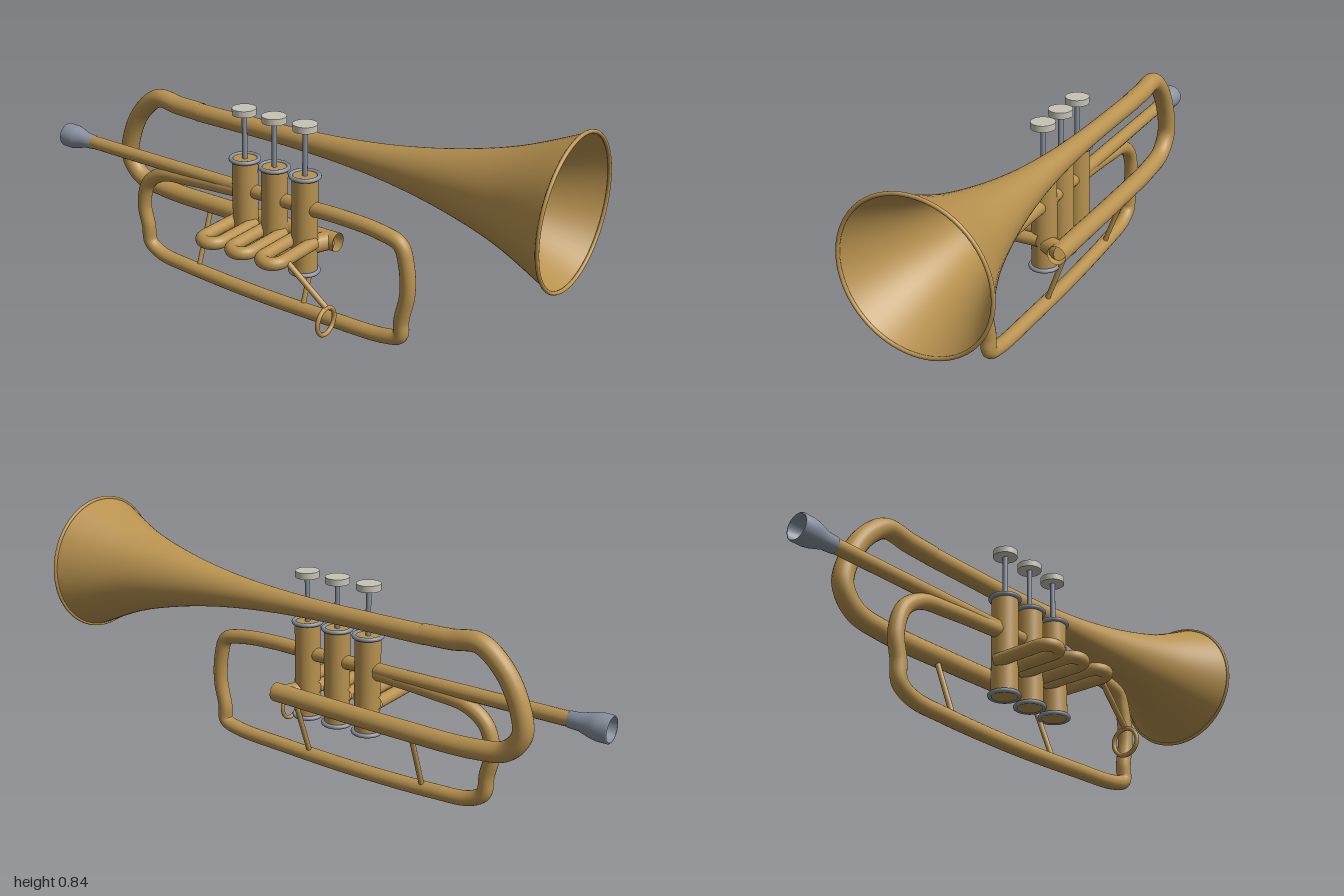
import * as THREE from 'three';

export function createModel() {
  const brass = new THREE.MeshStandardMaterial({ color: 0xb8924f, side: THREE.DoubleSide });
  brass.name = 'brass';
  const steel = new THREE.MeshStandardMaterial({ color: 0x8891a0, side: THREE.DoubleSide });
  steel.name = 'steel';
  const pearl = new THREE.MeshStandardMaterial({ color: 0xc6c4b6 });
  pearl.name = 'pearl';

  const model = new THREE.Group();
  model.name = 'horn';
  const V = (p) => new THREE.Vector3(...p);

  function add(name, geometry, material, position = [0, 0, 0], parent = model) {
    const mesh = new THREE.Mesh(geometry, material);
    mesh.name = name;
    mesh.position.set(...position);
    parent.add(mesh);
    return mesh;
  }
  // Round pipe through a list of points
  function pipe(name, points, radius, closed = false, segments = 140) {
    const curve = new THREE.CatmullRomCurve3(points.map(V), closed, 'centripetal');
    return add(name, new THREE.TubeGeometry(curve, segments, radius, 20, closed), brass);
  }
  // Straight rod between two points
  function rod(name, a, b, radius) {
    const from = V(a), dir = V(b).sub(from);
    const mesh = add(name, new THREE.CylinderGeometry(radius, radius, dir.length(), 16), brass);
    mesh.position.copy(from).addScaledVector(dir, 0.5);
    mesh.quaternion.setFromUnitVectors(new THREE.Vector3(0, 1, 0), dir.normalize());
    return mesh;
  }
  // Turned part whose axis runs along x; profile is [radius, x]
  function turned(name, profile, material, y, z) {
    const points = profile.map(([r, x]) => new THREE.Vector2(r, x));
    const mesh = add(name, new THREE.LatheGeometry(points, 56), material, [0, y, z]);
    mesh.rotation.z = -Math.PI / 2;
    return mesh;
  }

  const valveZ = 0.045, bellZ = -0.038, bellY = 0.605, leadY = 0.413;

  // Bell flare with rolled rim
  const flare = new THREE.SplineCurve([
    [0.032, -0.41], [0.032, -0.2], [0.034, 0], [0.043, 0.2], [0.063, 0.4],
    [0.099, 0.6], [0.154, 0.8], [0.237, 0.995],
  ].map(([r, x]) => new THREE.Vector2(r, x)));
  turned('bell', flare.getPoints(48).map((p) => [p.x, p.y]), brass, bellY, bellZ);
  add('bellRim', new THREE.TorusGeometry(0.237, 0.006, 12, 64), brass, [0.994, bellY, bellZ])
    .rotation.y = Math.PI / 2;

  // Bell tail, bending back under itself to the valves
  pipe('bellTail', [
    [-0.4, 0.607, bellZ], [-0.5, 0.61, bellZ], [-0.6, 0.617, bellZ], [-0.685, 0.55, bellZ],
    [-0.74, 0.45, bellZ], [-0.755, 0.36, bellZ], [-0.705, 0.295, bellZ], [-0.59, 0.272, bellZ],
    [-0.3, 0.268, bellZ], [0, 0.272, bellZ], [0.185, 0.275, bellZ],
  ], 0.033);
  rod('bellTailConnector', [0.15, 0.274, bellZ], [0.115, 0.274, valveZ], 0.032);

  // Mouthpiece with an open cup
  turned('mouthpiece', [
    [0.004, -0.93], [0.022, -0.945], [0.034, -0.97], [0.038, -0.998], [0.041, -1], [0.044, -0.997],
    [0.044, -0.96], [0.04, -0.94], [0.028, -0.9], [0.026, -0.865], [0.02, -0.865],
  ], steel, leadY, valveZ - 0.002);

  // Lead pipe and the long tuning loop
  rod('leadPipe', [-0.88, leadY, valveZ - 0.002], [0.1, leadY, valveZ - 0.002], 0.024);
  pipe('tuningLoop', [
    [0.1, 0.414, valveZ], [0.25, 0.417, valveZ], [0.4, 0.407, valveZ], [0.475, 0.385, valveZ],
    [0.5, 0.32, valveZ], [0.508, 0.22, valveZ], [0.49, 0.12, valveZ], [0.488, 0.065, valveZ],
    [0.43, 0.045, valveZ], [0.2, 0.034, valveZ], [-0.1, 0.029, valveZ], [-0.4, 0.038, valveZ],
    [-0.54, 0.052, valveZ], [-0.592, 0.085, valveZ], [-0.6, 0.15, valveZ], [-0.615, 0.23, valveZ],
    [-0.59, 0.32, valveZ], [-0.52, 0.37, valveZ], [-0.4, 0.386, valveZ], [-0.14, 0.403, valveZ],
  ], 0.0255, false, 220);

  // Three valves, each with a slide
  [-0.14, -0.016, 0.108].forEach((x, i) => {
    const valve = new THREE.Group();
    valve.name = `valve${i + 1}`;
    valve.position.set(x, 0, valveZ);
    model.add(valve);
    add('casing', new THREE.CylinderGeometry(0.044, 0.044, 0.345, 36), brass, [0, 0.353, 0], valve);
    for (const y of [0.185, 0.524]) {
      add('casingRing', new THREE.TorusGeometry(0.047, 0.0075, 12, 40), steel, [0, y, 0], valve)
        .rotation.x = Math.PI / 2;
    }
    add('stem', new THREE.CylinderGeometry(0.009, 0.009, 0.165, 16), steel, [0, 0.6, 0], valve);
    add('button', new THREE.CylinderGeometry(0.041, 0.041, 0.022, 32), pearl, [0, 0.692, 0], valve);

    const w = 0.037, slide = [[-w, 0.294, 0], [-w, 0.294, 0.1], [-w, 0.294, 0.17]];
    for (let k = 0; k <= 8; k++) {
      const a = Math.PI * (1 - k / 8);
      slide.push([w * Math.cos(a), 0.294, 0.172 + w * Math.sin(a)]);
    }
    slide.push([w, 0.294, 0.1], [w, 0.294, 0]);
    valve.add(pipe('valveSlide', slide, 0.022, false, 80));
  });

  // Finger ring on its arm
  rod('fingerRingArm', [0.16, 0.29, 0.205], [0.3, 0.17, 0.192], 0.01);
  add('fingerRing', new THREE.TorusGeometry(0.046, 0.0075, 12, 40), brass, [0.3, 0.12, 0.191])
    .rotation.y = Math.PI / 2;

  // Slanted braces down to the bottom pipe
  for (const x of [-0.365, 0.1]) {
    rod('brace', [x, 0.26, bellZ], [x, 0.035, valveZ], 0.009);
  }

  return model;
}
